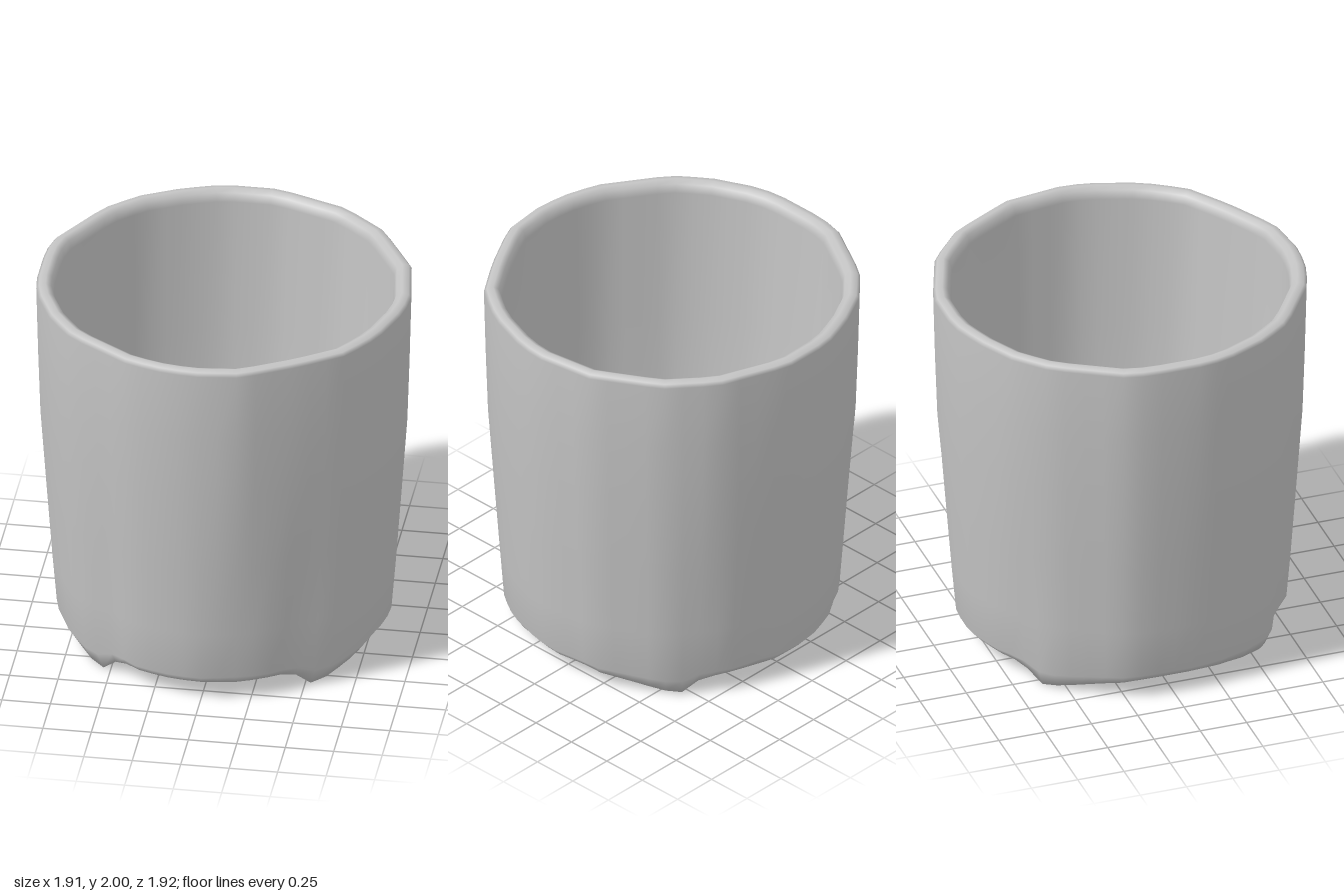
import * as THREE from 'three';

// Plan outline of the lip, [x, z], running from +x towards +z
const outline = [
  [0.955, 0], [0.945, 0.15], [0.85, 0.43], [0.72, 0.63], [0.5, 0.78], [0.22, 0.935], [0, 0.96],
  [-0.16, 0.95], [-0.37, 0.89], [-0.7, 0.67], [-0.83, 0.5], [-0.93, 0.28], [-0.96, 0.15],
  [-0.96, -0.17], [-0.93, -0.3], [-0.74, -0.63], [-0.58, -0.78], [-0.37, -0.89],
  [-0.16, -0.96], [0.13, -0.96], [0.5, -0.82], [0.72, -0.63], [0.91, -0.3],
];
const SEGMENTS = 60;
const FOOT_ANGLE = 48;

// Distance from the axis to the outline in direction a
function outlineRadius(a) {
  const c = Math.cos(a), s = Math.sin(a);
  for (let i = 0; i < outline.length; i++) {
    const [x1, z1] = outline[i], [x2, z2] = outline[(i + 1) % outline.length];
    const d1 = c * z1 - s * x1, d2 = c * z2 - s * x2;
    if (d1 <= 1e-9 && d2 > 1e-9) {
      const t = d1 / (d1 - d2);
      return Math.hypot(x1 + (x2 - x1) * t, z1 + (z2 - z1) * t);
    }
  }
  return 0.955;
}

// How far the base edge reaches down to one of the four pointed feet, 0..1
function footAmount(deg) {
  const q = Math.abs(((deg + 90) % 180 + 180) % 180 - 90); // fold into 0..90
  return q < FOOT_ANGLE ? Math.max(0, 1 - (FOOT_ANGLE - q) / 38) ** 1.2
    : Math.max(0, 1 - (q - FOOT_ANGLE) / 8);
}

// Shallow vertical flutes that fade out up the wall
const flutes = [56, 78, 126, 234, 282, 304];
function fluteDepth(deg, y) {
  const fade = Math.max(0, 1 - y / 1.3);
  return flutes.reduce((sum, f) => sum + Math.max(0, 1 - Math.abs(deg - f) / 10), 0) * 0.022 * fade;
}

// Rings from underside centre, up the outer wall, over the lip, down to the floor:
// [outline scale, height, foot weight, flute weight]
const profile = [
  [0, 0.17, 0, 0], [0.5, 0.17, 0, 0], [0.79, 0.165, 0, 0],
  [0.815, 0.125, 0.6, 0], [0.853, 0.092, 1, 0.3], [0.892, 0.135, 0.45, 1],
  [0.915, 0.4, 0, 1], [0.945, 0.8, 0, 1], [0.978, 1.25, 0, 1], [0.99, 1.6, 0, 0],
  [1, 1.975, 0, 0], [0.985, 1.992, 0, 0], [0.95, 2, 0, 0], [0.92, 1.985, 0, 0], [0.905, 1.94, 0, 0],
  [0.88, 1.2, 0, 0], [0.82, 0.42, 0, 0], [0.785, 0.29, 0, 0],
  [0.72, 0.25, 0, 0], [0.4, 0.23, 0, 0], [0, 0.225, 0, 0],
];

function cupGeometry() {
  const positions = [], index = [];
  profile.forEach(([scale, y, foot, flute], j) => {
    for (let i = 0; i < SEGMENTS; i++) {
      const deg = i * 360 / SEGMENTS, a = deg * Math.PI / 180;
      const r = scale * outlineRadius(a) - flute * fluteDepth(deg, y);
      // pull the tip of each foot slightly towards the axis
      const tip = foot * footAmount(deg);
      const radius = r - (foot === 1 ? 0.008 * tip : 0);
      positions.push(radius * Math.cos(a), y - 0.092 * tip, radius * Math.sin(a));
      if (j < profile.length - 1) {
        const n = (i + 1) % SEGMENTS, lo = j * SEGMENTS, hi = lo + SEGMENTS;
        if (j > 0) index.push(lo + i, hi + i, lo + n);
        if (j < profile.length - 2) index.push(lo + n, hi + i, hi + n);
      }
    }
  });
  const g = new THREE.BufferGeometry();
  g.setAttribute('position', new THREE.Float32BufferAttribute(positions, 3));
  g.setIndex(index);
  g.computeVertexNormals();
  return g;
}

export function createModel() {
  const group = new THREE.Group();
  group.name = 'cup';
  const clay = new THREE.MeshStandardMaterial({ color: 0xc4c4c4 });
  clay.name = 'light grey';
  const body = new THREE.Mesh(cupGeometry(), clay);
  body.name = 'cupBody';
  group.add(body);
  return group;
}
